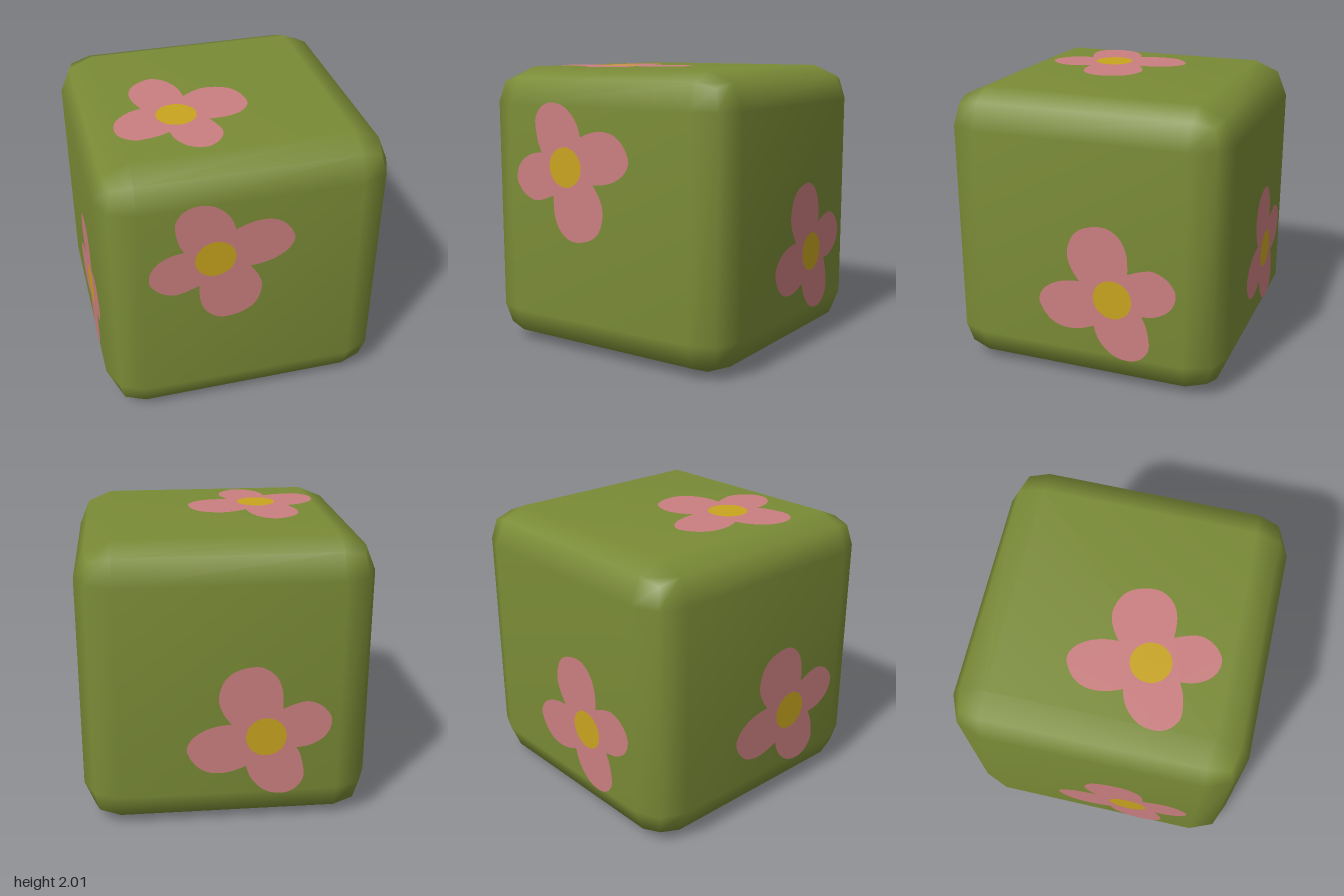
import * as THREE from 'three';
import { RoundedBoxGeometry } from 'three/addons/geometries/RoundedBoxGeometry.js';
import { mergeVertices } from 'three/addons/utils/BufferGeometryUtils.js';

const mat = (name, color) => Object.assign(new THREE.MeshStandardMaterial({ color }), { name });

// Each petal is a smooth curve from one notch to the next (clockwise, about the flower centre)
const PETALS = [
  [-0.21, 0.09, -0.245, 0.17, -0.265, 0.305, -0.233, 0.38, -0.18, 0.423, -0.104, 0.439,
    -0.008, 0.418, 0.072, 0.353, 0.115, 0.284, 0.137, 0.214],
  [0.137, 0.214, 0.217, 0.246, 0.313, 0.262, 0.41, 0.246, 0.484, 0.193, 0.533, 0.112,
    0.538, 0.054, 0.495, -0.016, 0.41, -0.07, 0.313, -0.096, 0.238, -0.102],
  [0.238, -0.102, 0.286, -0.171, 0.319, -0.252, 0.319, -0.332, 0.281, -0.428, 0.206, -0.487,
    0.094, -0.514, 0.008, -0.498, -0.062, -0.439, -0.099, -0.359, -0.11, -0.278, -0.11, -0.203],
  [-0.11, -0.203, -0.195, -0.236, -0.286, -0.252, -0.377, -0.214, -0.436, -0.145, -0.447, -0.091,
    -0.431, -0.027, -0.383, 0.032, -0.302, 0.075, -0.21, 0.09],
];

function petalGeometry() {
  const outline = [];
  for (const p of PETALS) {
    const pts = [];
    for (let i = 0; i < p.length; i += 2) pts.push(new THREE.Vector2(p[i], p[i + 1]));
    outline.push(...new THREE.SplineCurve(pts).getPoints(30).slice(0, -1));
  }
  return new THREE.ShapeGeometry(new THREE.Shape(outline));
}

export function createModel() {
  const model = new THREE.Group();
  model.name = 'flowerCube';
  const green = mat('leaf green', 0x7a8b36);
  const pink = mat('petal pink', 0xcb7f80);
  const yellow = mat('pollen yellow', 0xc8a41f);

  // Bevelled cube with normals smoothed across the bevels
  let body = new RoundedBoxGeometry(2, 2, 2, 1, 0.25);
  body.deleteAttribute('normal');
  body.deleteAttribute('uv');
  body = mergeVertices(body, 1e-3);
  body.computeVertexNormals();
  const cube = new THREE.Mesh(body, green);
  cube.name = 'cubeBody';
  cube.position.y = 1;
  model.add(cube);

  // One flower per face: tilt, turn, and spin within the face
  const H = Math.PI / 2;
  const faces = {
    front: [0, 0, 0],
    right: [0, H, 2 * H],
    back: [0, 2 * H, 2 * H],
    left: [0, -H, 2 * H],
    top: [-H, 0, H],
    bottom: [H, 0, H],
  };
  const petals = petalGeometry();
  const disc = new THREE.CircleGeometry(0.139, 40);
  for (const [face, angles] of Object.entries(faces)) {
    const flower = new THREE.Group();
    flower.name = face + 'Flower';
    flower.position.y = 1;
    flower.rotation.set(...angles);
    const petalMesh = new THREE.Mesh(petals, pink);
    petalMesh.name = 'petals';
    petalMesh.position.set(-0.25, 0.33, 1.002);
    const centre = new THREE.Mesh(disc, yellow);
    centre.name = 'flowerCentre';
    centre.position.set(-0.25, 0.33, 1.004);
    flower.add(petalMesh, centre);
    model.add(flower);
  }
  return model;
}
